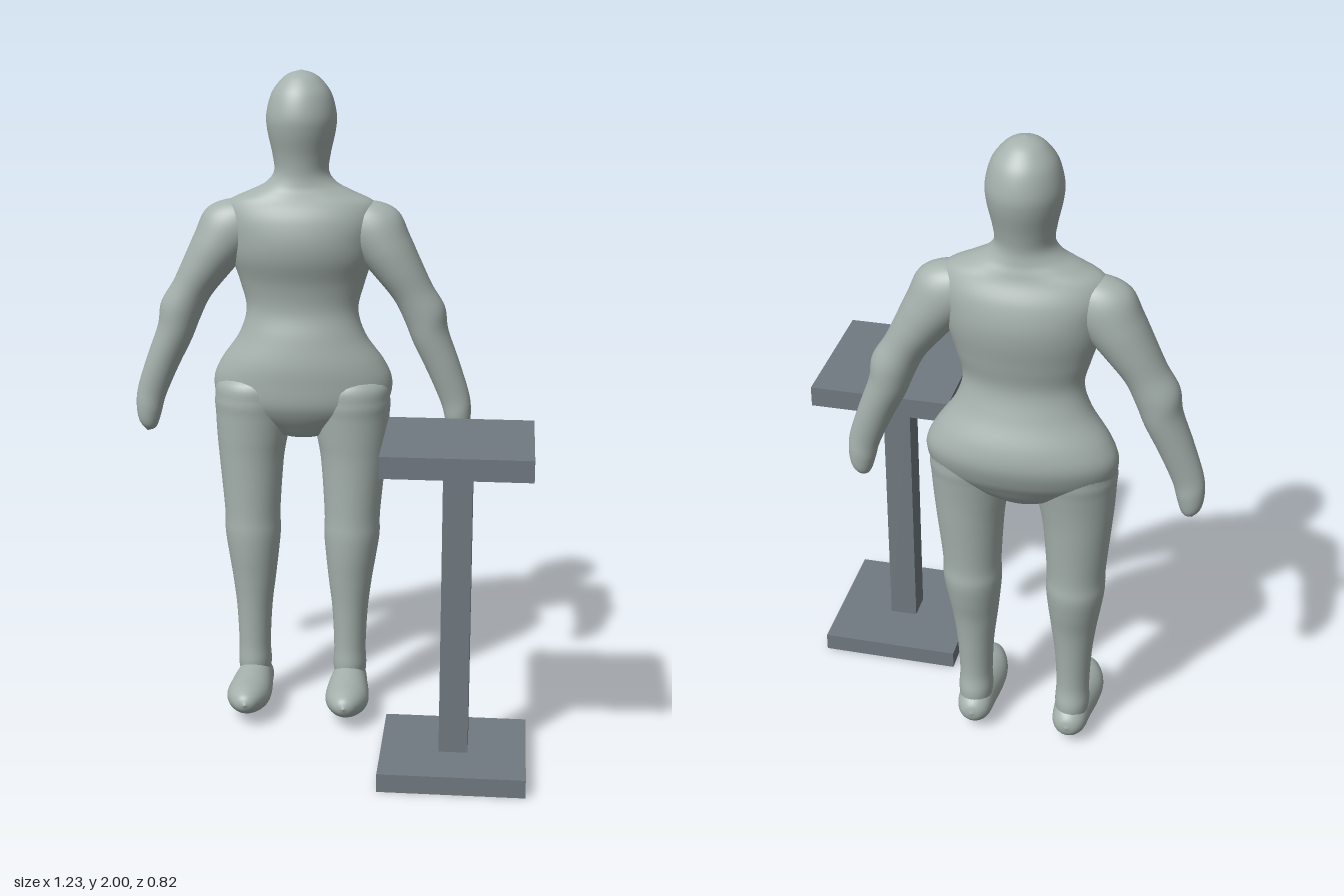
import * as THREE from 'three';

const skin = new THREE.MeshStandardMaterial({ color: 0xa5b1ad });
skin.name = 'pale grey green';
const slate = new THREE.MeshStandardMaterial({ color: 0x717a82 });
slate.name = 'slate grey';

const V = (x, y, z) => new THREE.Vector3(x, y, z);

// Smooth skin through elliptical sections [x, y, z, ru, rv] lying in the u/v plane
function loft(name, sections, u, v, rings = 80, sides = 36) {
  const path = new THREE.CatmullRomCurve3(sections.map(s => V(s[0], s[1], s[2])), false, 'catmullrom');
  const size = new THREE.CatmullRomCurve3(sections.map(s => V(s[3], s[4], 0)), false, 'catmullrom');
  const positions = [], index = [];
  const travel = path.getPoint(1).sub(path.getPoint(0));
  const forward = u.clone().cross(v).dot(travel) > 0;
  for (let i = 0; i <= rings; i++) {
    const c = path.getPoint(i / rings), r = size.getPoint(i / rings);
    for (let j = 0; j < sides; j++) {
      const a = (j / sides) * Math.PI * 2;
      const p = c.clone()
        .addScaledVector(u, Math.cos(a) * Math.max(r.x, 0.0005))
        .addScaledVector(v, Math.sin(a) * Math.max(r.y, 0.0005));
      positions.push(p.x, p.y, p.z);
      if (i === rings) continue;
      const k = (j + 1) % sides;
      const q = [i * sides + j, i * sides + k, (i + 1) * sides + k, (i + 1) * sides + j];
      if (!forward) q.reverse();
      index.push(q[0], q[1], q[2], q[0], q[2], q[3]);
    }
  }
  const geometry = new THREE.BufferGeometry();
  geometry.setAttribute('position', new THREE.Float32BufferAttribute(positions, 3));
  geometry.setIndex(index);
  geometry.computeVertexNormals();
  const mesh = new THREE.Mesh(geometry, skin);
  mesh.name = name;
  return mesh;
}

// Torso, neck and head: y, z centre, half depth, half width
const TORSO = [
  [0.875, -0.25, 0, 0], [0.885, -0.25, 0.05, 0.07], [0.92, -0.255, 0.085, 0.16],
  [0.96, -0.257, 0.112, 0.235], [1.0, -0.262, 0.131, 0.268], [1.06, -0.27, 0.142, 0.276],
  [1.12, -0.267, 0.138, 0.25], [1.2, -0.257, 0.115, 0.195], [1.28, -0.255, 0.096, 0.172],
  [1.36, -0.257, 0.107, 0.19], [1.44, -0.252, 0.128, 0.215], [1.5, -0.25, 0.133, 0.225],
  [1.56, -0.248, 0.122, 0.235], [1.61, -0.245, 0.1, 0.22], [1.64, -0.245, 0.09, 0.16],
  [1.665, -0.245, 0.083, 0.11], [1.7, -0.245, 0.08, 0.083], [1.75, -0.247, 0.088, 0.087],
  [1.82, -0.248, 0.107, 0.102], [1.87, -0.248, 0.111, 0.105], [1.93, -0.248, 0.095, 0.09],
  [1.97, -0.247, 0.065, 0.062], [1.99, -0.246, 0.036, 0.035], [2.0, -0.246, 0, 0],
];

// Leg from ankle to hip: x, y, z, half depth, half width
const LEG = [
  [0.152, 0.06, -0.235, 0.045, 0.042], [0.152, 0.13, -0.23, 0.06, 0.052],
  [0.152, 0.2, -0.226, 0.054, 0.05], [0.152, 0.32, -0.228, 0.06, 0.056],
  [0.152, 0.42, -0.23, 0.07, 0.068], [0.154, 0.5, -0.235, 0.083, 0.079],
  [0.156, 0.57, -0.239, 0.09, 0.087], [0.157, 0.64, -0.239, 0.087, 0.087],
  [0.159, 0.8, -0.245, 0.094, 0.1], [0.156, 0.88, -0.247, 0.1, 0.11],
  [0.152, 0.95, -0.25, 0.107, 0.118], [0.15, 1.0, -0.252, 0.112, 0.122],
  [0.145, 1.06, -0.255, 0.1, 0.11], [0.14, 1.12, -0.255, 0, 0],
];

// Foot from heel to toe: x, y, z, half width, half height
const FOOT = [
  [0.15, 0.075, -0.31, 0, 0], [0.15, 0.073, -0.3, 0.03, 0.03], [0.15, 0.075, -0.27, 0.051, 0.053],
  [0.151, 0.076, -0.21, 0.058, 0.064], [0.153, 0.072, -0.14, 0.066, 0.062],
  [0.155, 0.072, -0.08, 0.067, 0.055], [0.155, 0.076, -0.03, 0.054, 0.045],
  [0.154, 0.079, 0.01, 0.03, 0.027], [0.153, 0.08, 0.026, 0, 0],
];

// Arm from shoulder to fingertips: x, y, z, half width, half depth
const ARM = [
  [0.13, 1.6, -0.248, 0, 0], [0.16, 1.59, -0.248, 0.06, 0.05], [0.2, 1.545, -0.248, 0.098, 0.077],
  [0.25, 1.475, -0.247, 0.085, 0.083], [0.296, 1.405, -0.247, 0.072, 0.077],
  [0.34, 1.335, -0.248, 0.062, 0.067], [0.376, 1.268, -0.25, 0.065, 0.065],
  [0.395, 1.2, -0.25, 0.057, 0.06], [0.434, 1.108, -0.248, 0.051, 0.049],
  [0.47, 1.013, -0.247, 0.046, 0.038], [0.482, 0.955, -0.247, 0.042, 0.037],
  [0.487, 0.905, -0.247, 0.029, 0.027], [0.488, 0.88, -0.247, 0, 0],
];

function box(name, w, h, d, y) {
  const mesh = new THREE.Mesh(new THREE.BoxGeometry(w, h, d), slate);
  mesh.name = name;
  mesh.position.y = y;
  return mesh;
}

export function createModel() {
  const model = new THREE.Group();
  model.name = 'figureWithStand';
  const X = V(1, 0, 0), Y = V(0, 1, 0), Z = V(0, 0, 1);

  // Standing figure, mirrored limbs
  const figure = new THREE.Group();
  figure.name = 'figure';
  figure.position.x = -0.095;
  figure.add(loft('torsoAndHead', TORSO.map(([y, z, d, w]) => [0, y, z, d, w]), Z, X, 138, 48));
  for (const [side, s] of [['left', 1], ['right', -1]]) {
    const mirror = list => list.map(([x, ...rest]) => [x * s, ...rest]);
    figure.add(
      loft(side + 'Leg', mirror(LEG), Z, X),
      loft(side + 'Foot', mirror(FOOT), X, Y, 48),
      loft(side + 'Arm', mirror(ARM), V(0.918 * s, 0.396, 0), Z),
    );
  }
  model.add(figure);

  // Pedestal stand
  const stand = new THREE.Group();
  stand.name = 'stand';
  stand.position.set(0.403, 0, 0.198);
  stand.add(
    box('standBase', 0.428, 0.055, 0.428, 0.0275),
    box('standPost', 0.085, 0.9, 0.085, 0.5),
    box('standTop', 0.428, 0.063, 0.428, 0.974),
  );
  model.add(stand);
  return model;
}
